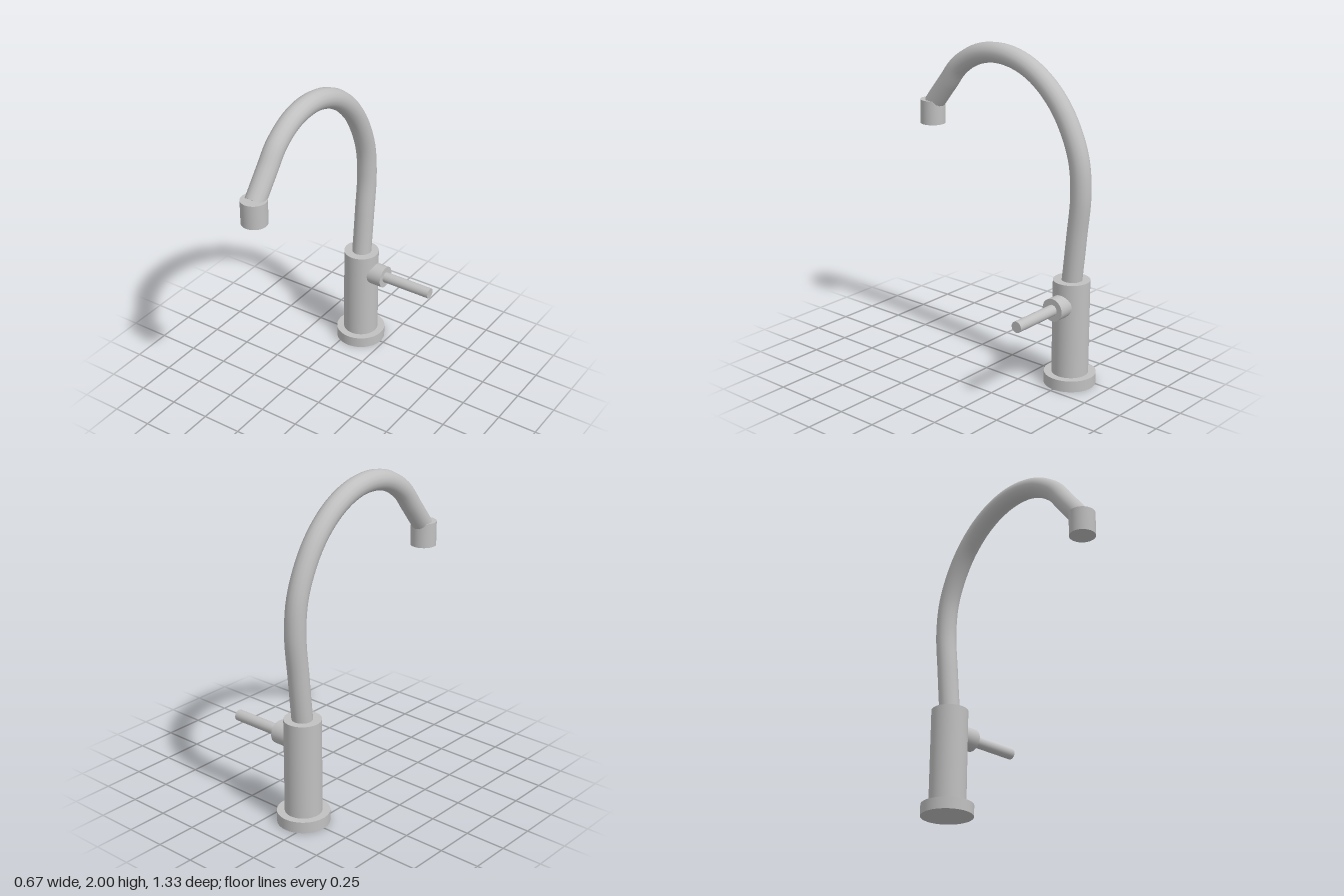
import * as THREE from 'three';

export function createModel() {
  const group = new THREE.Group();
  const metal = new THREE.MeshStandardMaterial({ color: 0xc0c0c0 });
  metal.name = 'brushed metal';
  const X = -0.18, Z = -0.505; // axis of the body

  const add = (name, geometry, x, y, z) => {
    const mesh = new THREE.Mesh(geometry, metal);
    mesh.name = name;
    mesh.position.set(x, y, z);
    group.add(mesh);
    return mesh;
  };

  // Upright cylinder from y0 to y1
  const upright = (name, r, y0, y1, z) =>
    add(name, new THREE.CylinderGeometry(r, r, y1 - y0, 48), X, (y0 + y1) / 2, z);

  // Sideways cylinder from x0 to x1
  const sideways = (name, r, x0, x1) =>
    add(name, new THREE.CylinderGeometry(r, r, x1 - x0, 32).rotateZ(-Math.PI / 2),
      (x0 + x1) / 2, 0.52, Z);

  upright('baseFlange', 0.157, 0, 0.07, Z);
  upright('body', 0.111, 0.07, 0.66, Z);
  sideways('handleHub', 0.07, X, 0.005);
  sideways('handleLever', 0.034, 0.005, 0.335);

  // Gooseneck spout, given as z, y along its centre line
  const path = new THREE.CatmullRomCurve3([
    [-0.5, 0.6], [-0.508, 0.66], [-0.535, 0.93], [-0.558, 1.2], [-0.532, 1.42],
    [-0.42, 1.66], [-0.27, 1.82], [-0.11, 1.908], [0.055, 1.938], [0.22, 1.911],
    [0.37, 1.82], [0.46, 1.71], [0.579, 1.56],
  ].map(([z, y]) => new THREE.Vector3(0, y, z)));
  add('spout', new THREE.TubeGeometry(path, 64, 0.062, 16), X, 0, 0);

  // Cap closing the end of the spout
  const end = path.getPoint(1);
  const cap = add('spoutEnd', new THREE.CircleGeometry(0.062, 16), X, end.y, end.z);
  cap.quaternion.setFromUnitVectors(new THREE.Vector3(0, 0, 1), path.getTangent(1));

  upright('nozzle', 0.078, 1.43, 1.58, 0.59);
  return group;
}
